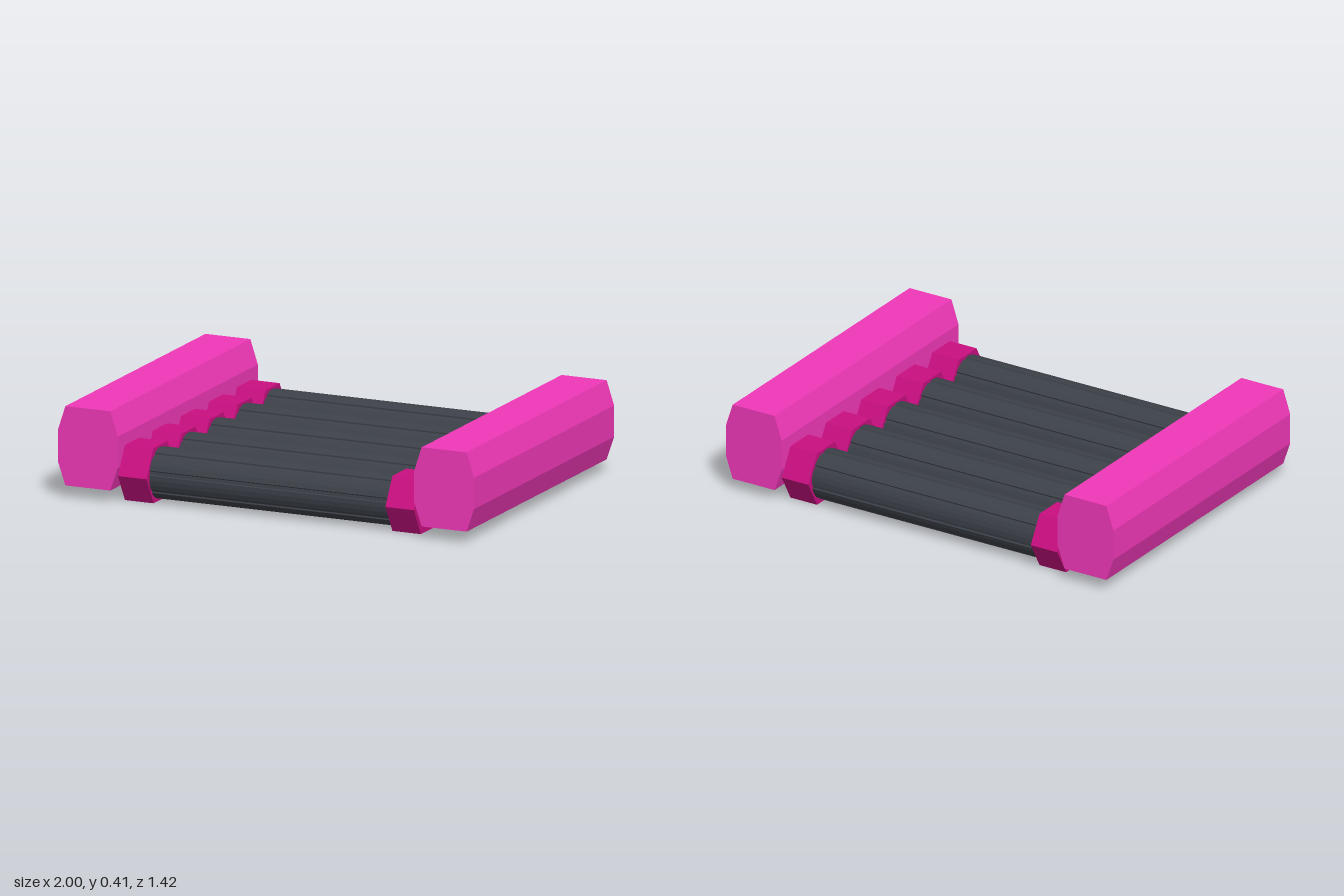
import * as THREE from 'three';

const mat = (color) => new THREE.MeshStandardMaterial({ color, flatShading: true });

const HALF_DEPTH = 0.712;   // half length of the side rails
const PITCH = 0.285;        // spacing of the rollers
const AXIS_Y = 0.124;       // height of the roller axes

// Extrude a closed outline along z, centred on z = 0
function prism(points, length) {
  const shape = new THREE.Shape(points.map(([x, y]) => new THREE.Vector2(x, y)));
  const geo = new THREE.ExtrudeGeometry(shape, { depth: length, bevelEnabled: false });
  return geo.translate(0, 0, -length / 2);
}

// Hexagonal bar along x, flat on top and bottom
const hexBar = (radius, length) =>
  new THREE.CylinderGeometry(radius, radius, length, 6).rotateZ(Math.PI / 2);

// Round bar along x with shallow lengthwise grooves
function groovedBar(radius, length, grooves) {
  const points = [];
  const step = (Math.PI * 2) / grooves;
  const add = (a, r) => points.push([-Math.cos(a) * r, Math.sin(a) * r]);
  for (let i = 0; i < grooves; i++) {
    const a = i * step + 0.09;
    add(a, radius);
    add(a + 0.03, radius - 0.006);
    add(a + 0.16, radius - 0.006);
    add(a + 0.19, radius);
    add(a + 0.39, radius);
    add(a + 0.59, radius);
  }
  return prism(points, length).rotateY(Math.PI / 2);
}

export function createModel() {
  const model = new THREE.Group();
  model.name = 'rollerTrack';

  const railMat = mat(0xf038b8);
  const collarMat = mat(0xc80f80);
  const rollerMat = mat(0x3c4048);

  const add = (parent, name, geo, material, x = 0) => {
    const mesh = new THREE.Mesh(geo, material);
    mesh.name = name;
    mesh.position.x = x;
    parent.add(mesh);
  };

  // Chamfered side rails
  const railGeo = prism([
    [-0.108, 0.055], [0.108, 0.055], [0.144, 0.16], [0.144, 0.3],
    [0.108, 0.41], [-0.108, 0.41], [-0.144, 0.3], [-0.144, 0.16],
  ], HALF_DEPTH * 2);
  add(model, 'leftRail', railGeo, railMat, 0.856);
  add(model, 'rightRail', railGeo, railMat, -0.856);

  // Five rollers, each with a hexagonal collar and axle core at both ends
  const rollerGeo = groovedBar(0.114, 1.16, 8);
  const collarGeo = hexBar(0.1425, 0.137);
  const coreGeo = hexBar(0.086, 0.137);
  for (let i = -2; i <= 2; i++) {
    const unit = new THREE.Group();
    unit.name = `rollerUnit${i + 3}`;
    unit.position.set(0, AXIS_Y, i * PITCH);
    add(unit, 'roller', rollerGeo, rollerMat);
    for (const side of [1, -1]) {
      const label = side > 0 ? 'left' : 'right';
      add(unit, `${label}Collar`, collarGeo, collarMat, side * 0.6425);
      add(unit, `${label}AxleCore`, coreGeo, rollerMat, side * 0.6445);
    }
    model.add(unit);
  }
  return model;
}
